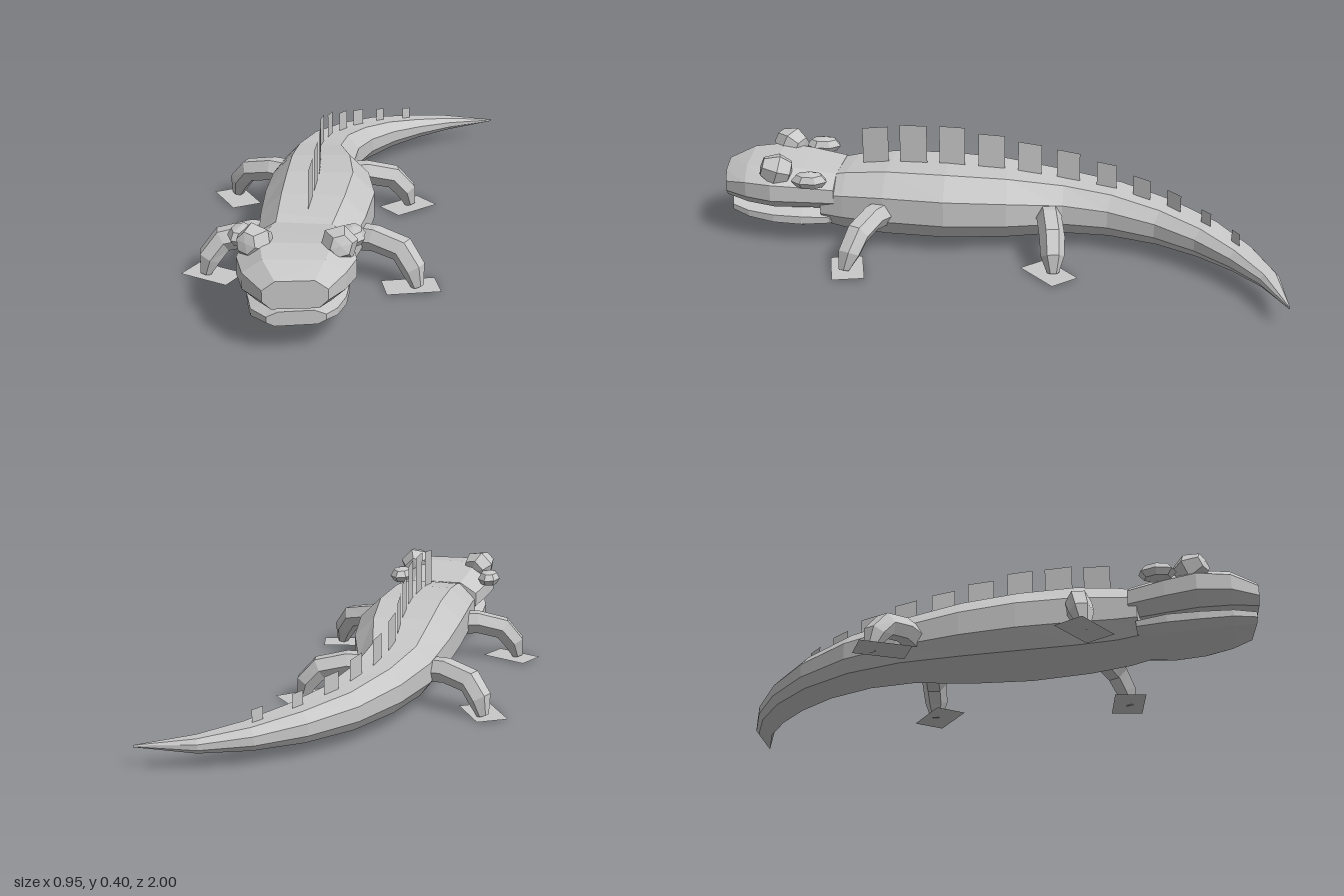
import * as THREE from 'three';

const grey = new THREE.MeshStandardMaterial({ color: 0xc8c8c8, flatShading: true, side: THREE.DoubleSide });
grey.name = 'stone grey';
const UP = new THREE.Vector3(0, 1, 0);
const V = (x, y, z) => new THREE.Vector3(x, y, z);

function part(name, geometry) {
  const mesh = new THREE.Mesh(geometry, grey);
  mesh.name = name;
  return mesh;
}

// Skin a list of rings (arrays of Vector3) and close both ends
function loft(rings) {
  const n = rings[0].length, pos = [], idx = [];
  rings.forEach((ring) => ring.forEach((p) => pos.push(p.x, p.y, p.z)));
  for (let i = 0; i < rings.length - 1; i++) {
    for (let j = 0; j < n; j++) {
      const a = i * n + j, b = i * n + (j + 1) % n;
      idx.push(a, a + n, b, b, a + n, b + n);
    }
  }
  const last = (rings.length - 1) * n;
  for (let j = 1; j < n - 1; j++) {
    idx.push(0, j, j + 1, last, last + j + 1, last + j);
  }
  const g = new THREE.BufferGeometry();
  g.setAttribute('position', new THREE.Float32BufferAttribute(pos, 3));
  g.setIndex(idx);
  const flat = g.toNonIndexed();
  flat.computeVertexNormals();
  return flat;
}

const tangent = (pts, i) =>
  pts[Math.min(i + 1, pts.length - 1)].clone().sub(pts[Math.max(i - 1, 0)]).normalize();

// Eight-sided outline: sideways share of half width, share of height
const OUTLINE = [[1, 0.28], [1, 0.68], [0.6, 1], [-0.6, 1], [-1, 0.68], [-1, 0.28], [-0.72, 0], [0.72, 0]];

// Sections are [x, z, halfWidth, bottom, top], front to back
function trunk(sections) {
  const pts = sections.map(([x, z]) => V(x, 0, z));
  return loft(sections.map(([, , w, lo, hi], i) => {
    const side = tangent(pts, i).cross(UP);
    return OUTLINE.map(([u, v]) => pts[i].clone().addScaledVector(side, u * w).setY(lo + (hi - lo) * v));
  }));
}

// Six-sided limb along a bent path
function limb(path, radii) {
  const pts = path.map((p) => V(...p));
  const side = pts[pts.length - 1].clone().sub(pts[0]).setY(0).normalize().cross(UP);
  return loft(pts.map((p, i) => {
    const b = side.clone().cross(tangent(pts, i)).normalize();
    return Array.from({ length: 6 }, (_, k) => {
      const a = k * Math.PI / 3;
      return p.clone().addScaledVector(side, radii[i] * Math.cos(a)).addScaledVector(b, radii[i] * Math.sin(a));
    });
  }));
}

const BODY = [
  [0.02, 0.62, 0.14, 0.06, 0.23], [0.02, 0.54, 0.152, 0.05, 0.248],
  [0.015, 0.4, 0.17, 0.045, 0.265], [0, 0.2, 0.182, 0.045, 0.266],
  [-0.035, 0, 0.165, 0.045, 0.25], [-0.075, -0.2, 0.124, 0.047, 0.216],
  [-0.065, -0.38, 0.104, 0.048, 0.195], [-0.015, -0.56, 0.087, 0.046, 0.168],
  [0.07, -0.71, 0.072, 0.046, 0.145], [0.175, -0.83, 0.055, 0.048, 0.12],
  [0.3, -0.925, 0.034, 0.053, 0.098], [0.475, -0.995, 0.002, 0.068, 0.074],
];

// Read x or top height of the body at a given z
function bodyAt(z, column) {
  let i = 0;
  while (i < BODY.length - 2 && BODY[i + 1][1] > z) i++;
  const a = BODY[i], b = BODY[i + 1];
  return THREE.MathUtils.lerp(a[column], b[column], (z - a[1]) / (b[1] - a[1]));
}

export function createModel() {
  const model = new THREE.Group();
  model.name = 'lizard';

  // Body with curved tail, head and lower jaw
  model.add(part('bodyAndTail', trunk(BODY)));
  model.add(part('head', trunk([
    [0.02, 0.58, 0.15, 0.12, 0.24], [0.03, 0.7, 0.168, 0.122, 0.258], [0.042, 0.8, 0.18, 0.125, 0.27],
    [0.055, 0.9, 0.152, 0.132, 0.262], [0.075, 0.98, 0.096, 0.145, 0.232],
  ])));
  model.add(part('lowerJaw', trunk([
    [0.02, 0.6, 0.14, 0.06, 0.11], [0.03, 0.7, 0.155, 0.052, 0.122], [0.042, 0.8, 0.15, 0.056, 0.122],
    [0.055, 0.9, 0.128, 0.068, 0.124], [0.075, 0.965, 0.088, 0.085, 0.13],
  ])));

  // Blunt six-sided eyes
  const eyeProfile = [[0, -0.055], [0.045, -0.045], [0.06, 0], [0.034, 0.05], [0, 0.055]]
    .map(([r, y]) => new THREE.Vector2(r, y));
  for (const [name, x, z, s] of [['leftEye', 0.165, 0.77, 1], ['rightEye', -0.085, 0.8, -1]]) {
    const eye = part(name, new THREE.LatheGeometry(eyeProfile, 6));
    eye.position.set(x, 0.262, z);
    eye.quaternion.setFromUnitVectors(UP, V(s * 0.3, 0.3, 0.9).normalize());
    model.add(eye);
  }

  // Rounded lumps behind the eyes
  for (const [name, x, z] of [['leftEarLump', 0.185, 0.645], ['rightEarLump', -0.15, 0.7]]) {
    const lump = part(name, new THREE.SphereGeometry(1, 7, 4));
    lump.scale.set(0.042, 0.03, 0.064);
    lump.position.set(x, 0.24, z);
    lump.rotation.y = 0.12;
    model.add(lump);
  }

  // Legs, each with a flat foot: centre x, z, direction x, z
  const legs = [
    ['frontLeft', [[0.1, 0.125, 0.38], [0.22, 0.135, 0.415], [0.31, 0.115, 0.44], [0.35, 0.06, 0.46], [0.367, 0.005, 0.475]], [0.345, 0.47, 30, -10]],
    ['frontRight', [[-0.06, 0.125, 0.42], [-0.18, 0.135, 0.445], [-0.27, 0.115, 0.465], [-0.31, 0.06, 0.485], [-0.322, 0.005, 0.495]], [-0.3, 0.49, 33, 12]],
    ['rearLeft', [[0, 0.12, -0.15], [0.1, 0.13, -0.175], [0.19, 0.11, -0.2], [0.235, 0.06, -0.21], [0.25, 0.005, -0.215]], [0.245, -0.2, 22, -24]],
    ['rearRight', [[-0.12, 0.12, -0.13], [-0.24, 0.13, -0.15], [-0.33, 0.11, -0.175], [-0.37, 0.06, -0.195], [-0.385, 0.005, -0.205]], [-0.375, -0.165, 21, 29]],
  ];
  for (const [name, path, [x, z, dx, dz]] of legs) {
    model.add(part(name + 'Leg', limb(path, [0.048, 0.043, 0.043, 0.04, 0.02])));
    const foot = part(name + 'Foot', new THREE.PlaneGeometry(0.175, 0.108).rotateX(-Math.PI / 2));
    foot.position.set(x, 0.002, z);
    foot.rotation.y = -Math.atan2(dz, dx);
    model.add(foot);
  }

  // Row of thin plates along the back: middle z, length in z, top height
  const plates = [
    [0.456, 0.092, 0.386], [0.322, 0.095, 0.4], [0.187, 0.088, 0.4], [0.052, 0.09, 0.373], [-0.078, 0.08, 0.342],
    [-0.21, 0.08, 0.315], [-0.345, 0.07, 0.283], [-0.47, 0.062, 0.25], [-0.585, 0.05, 0.222], [-0.7, 0.034, 0.192], [-0.805, 0.028, 0.166],
  ];
  const crest = new THREE.Group();
  crest.name = 'backCrest';
  for (const [z, len, top] of plates) {
    const slope = (bodyAt(z + 0.05, 4) - bodyAt(z - 0.05, 4)) * 5 * len;
    const plate = new THREE.PlaneGeometry(1, 1);
    const pos = plate.attributes.position;
    for (let i = 0; i < 4; i++) {
      const end = pos.getX(i) * 2, pz = z + end * len / 2;
      const y = pos.getY(i) > 0 ? top + end * slope : bodyAt(pz, 4) - 0.015;
      pos.setXYZ(i, bodyAt(pz, 0), y, pz);
    }
    plate.computeVertexNormals();
    crest.add(part('backPlate', plate));
  }
  model.add(crest);
  return model;
}
